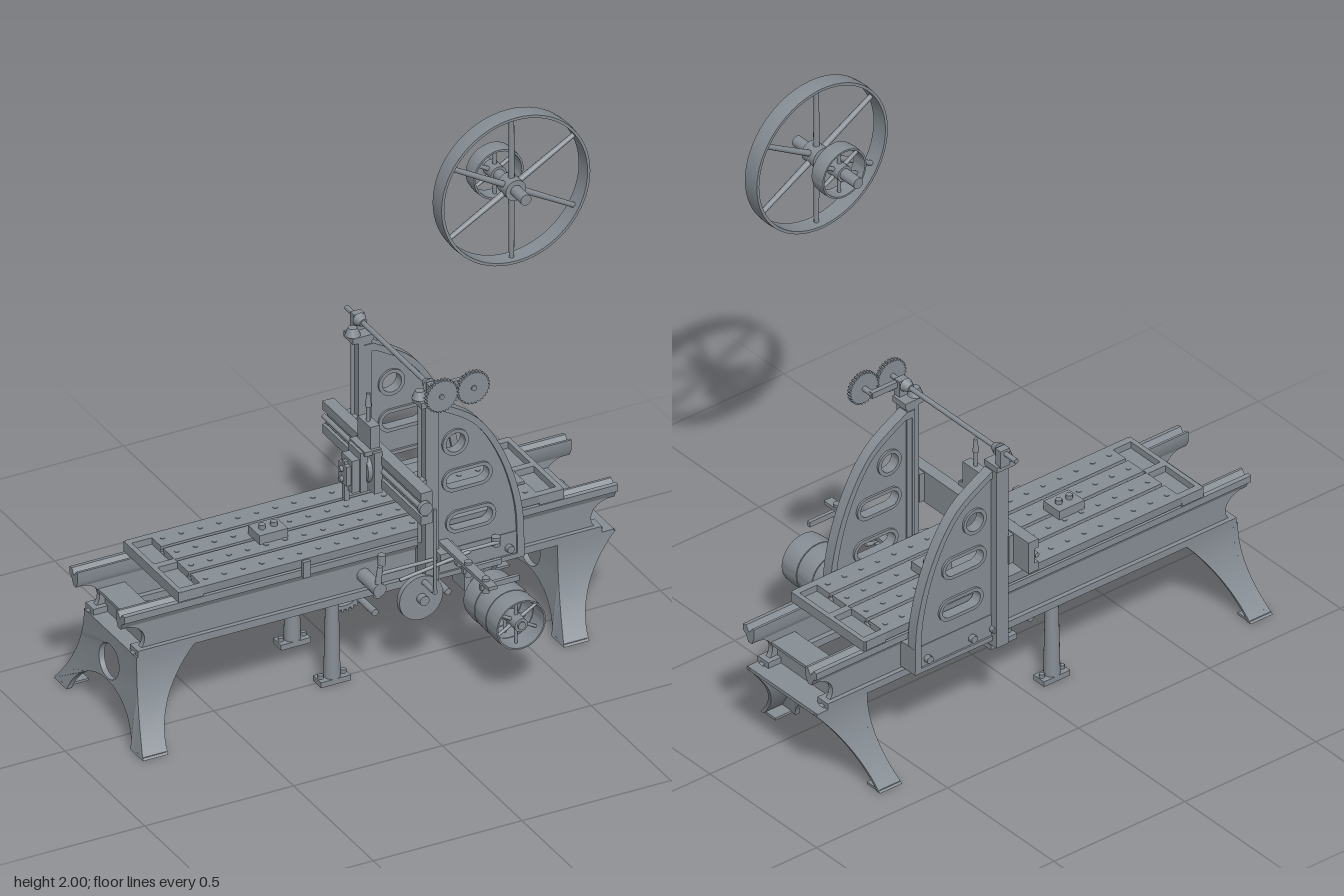
import * as THREE from 'three';
import { toCreasedNormals } from 'three/addons/utils/BufferGeometryUtils.js';

const MAT = new THREE.MeshStandardMaterial({ color: 0x868d94, side: THREE.DoubleSide });
const V = (x, y, z) => new THREE.Vector3(x, y, z);

export function createModel() {
  const root = new THREE.Group();
  root.name = 'planingMachine';
  // local z = 0 is the centre line of the bed
  const machine = new THREE.Group();
  machine.name = 'machine';
  machine.position.z = -0.118;
  root.add(machine);

  const add = (name, geo, parent = machine) => {
    const m = new THREE.Mesh(geo, MAT);
    m.name = name;
    parent.add(m);
    return m;
  };
  const box = (name, x0, x1, y0, y1, z0, z1) => {
    const m = add(name, new THREE.BoxGeometry(x1 - x0, y1 - y0, Math.abs(z1 - z0)));
    m.position.set((x0 + x1) / 2, (y0 + y1) / 2, (z0 + z1) / 2);
  };
  const rod = (name, a, b, r, r2 = r, seg = 16, parent = machine) => {
    const dir = b.clone().sub(a);
    const m = add(name, new THREE.CylinderGeometry(r2, r, dir.length(), seg), parent);
    m.position.copy(a).add(b).multiplyScalar(0.5);
    m.quaternion.setFromUnitVectors(V(0, 1, 0), dir.normalize());
  };
  const poly = pts => new THREE.Shape(pts.map(p => new THREE.Vector2(p[0], p[1])));
  const extrude = (shape, depth, curveSegments = 16) => toCreasedNormals(
    new THREE.ExtrudeGeometry(shape, { depth, bevelEnabled: false, curveSegments }), 0.6);
  // profile in (z, y) drawn along x
  const alongX = (name, pts, x0, x1) => {
    const g = extrude(poly(pts.map(([z, y]) => [-z, y])), x1 - x0).rotateY(Math.PI / 2);
    add(name, g.translate(x0, 0, 0));
  };
  const circlePath = (x, y, r) => new THREE.Path().absarc(x, y, r, 0, Math.PI * 2, true);
  const slotPath = (x, y, half, r) => {
    const p = new THREE.Path();
    p.absarc(x + half, y, r, -Math.PI / 2, Math.PI / 2, false);
    p.absarc(x - half, y, r, Math.PI / 2, Math.PI * 1.5, false);
    p.closePath();
    return p;
  };
  // spoked wheel with its axis along z
  const wheel = (name, x, y, z0, z1, r, rim, hub, spoke, n = 6) => {
    const g = new THREE.Group(), w = (z1 - z0) / 2;
    g.name = name;
    g.position.set(x, y, (z0 + z1) / 2);
    machine.add(g);
    const prof = [[r - rim, -w], [r - 0.002, -w], [r, 0], [r - 0.002, w], [r - rim, w], [r - rim, -w]];
    const lathe = new THREE.LatheGeometry(prof.map(p => new THREE.Vector2(...p)), 64).rotateX(Math.PI / 2);
    add('rim', toCreasedNormals(lathe, 0.6), g);
    rod('hub', V(0, 0, -w), V(0, 0, w), hub, hub, 24, g);
    for (let i = 0; i < n; i++) {
      const a = Math.PI / 2 + i * Math.PI * 2 / n, c = Math.cos(a), s = Math.sin(a);
      rod('spoke', V(c * hub * 0.8, s * hub * 0.8, 0), V(c * (r - rim / 2), s * (r - rim / 2), 0), spoke, spoke * 0.8, 10, g);
    }
  };
  // toothed wheel with its axis along z
  const gear = (name, x, y, z0, z1, r, teeth, open = false) => {
    const pts = [];
    for (let i = 0; i < teeth; i++)
      for (const [f, k] of [[0, 0.91], [0.4, 0.91], [0.55, 1], [0.85, 1]]) {
        const a = (i + f) / teeth * Math.PI * 2;
        pts.push([r * k * Math.cos(a), r * k * Math.sin(a)]);
      }
    const s = poly(pts);
    if (open) for (let i = 0; i < 6; i++) {
      const a0 = i * Math.PI / 3 + 0.12, a1 = a0 + Math.PI / 3 - 0.24, p = new THREE.Path();
      p.absarc(0, 0, r * 0.78, a0, a1, false);
      p.absarc(0, 0, r * 0.3, a1, a0, true);
      p.closePath();
      s.holes.push(p);
    }
    add(name, extrude(s, z1 - z0)).position.set(x, y, z0);
  };

  // End legs, both facing the same way: curved arched plate and flared side shells
  const H = 0.28;
  const flare = t => 0.165 + 0.115 * (1 - t) ** 2;
  const outerX = t => -0.785 - 0.04 * (1 - t) ** 2;
  const innerX = t => -0.74 + 0.15 * t ** 1.7;
  for (const [name, shift] of [['rightLeg', 0], ['leftLeg', 1.415]]) {
    const leg = new THREE.Group();
    leg.name = name;
    leg.position.x = shift;
    machine.add(leg);
    const edge = [...Array(13)].map((_, i) => [flare(i / 12), H * i / 12]);
    const arch = [...Array(17)].map((_, i) => [-0.2 * Math.cos(i * Math.PI / 16), 0.13 * Math.sin(i * Math.PI / 16) ** 1.3]);
    const plate = poly([...edge, ...edge.slice().reverse().map(([a, y]) => [-a, y]), ...arch]);
    plate.holes.push(new THREE.Path().absellipse(0, 0.19, 0.062, 0.055, 0, Math.PI * 2, true));
    const g = new THREE.ExtrudeGeometry(plate, { depth: 0.018, bevelEnabled: false, curveSegments: 20 }).rotateY(Math.PI / 2);
    const p = g.attributes.position;
    for (let i = 0; i < p.count; i++) p.setX(i, p.getX(i) + outerX(p.getY(i) / H));
    add('archedEndPlate', toCreasedNormals(g, 0.6), leg);
    for (const k of [1, -1]) {
      const sg = new THREE.BoxGeometry(1, 1, 1, 2, 14, 1), q = sg.attributes.position;
      for (let i = 0; i < q.count; i++) {
        const t = q.getY(i) + 0.5, u = q.getX(i) + 0.5;
        q.setXYZ(i, outerX(t) + u * (innerX(t) - outerX(t)), t * H, k * (flare(t) - (0.5 - k * q.getZ(i)) * 0.014));
      }
      add('flaredSide', toCreasedNormals(sg, 0.6), leg);
      const foot = add('foot', new THREE.BoxGeometry(0.08, 0.008, 0.06), leg);
      foot.position.set(-0.783, 0.004, k * 0.245);
    }
    const top = add('topFlange', new THREE.BoxGeometry(0.19, 0.012, 0.33), leg);
    top.position.set(-0.69, 0.279, 0);
  }

  // Bed: two notched walls with guide ways, flanges and cross ribs
  const wall = new THREE.Shape();
  wall.moveTo(-0.78, 0.28).lineTo(0.78, 0.28).lineTo(0.79, 0.29);
  wall.bezierCurveTo(0.735, 0.3, 0.735, 0.37, 0.8, 0.385).lineTo(0.815, 0.42);
  wall.lineTo(-0.815, 0.42).lineTo(-0.8, 0.385);
  wall.bezierCurveTo(-0.735, 0.37, -0.735, 0.3, -0.79, 0.29);
  for (const s of [1, -1]) {
    add('bedWall', extrude(wall, 0.018)).position.z = s > 0 ? 0.132 : -0.15;
    alongX('guideWay', [[0.148, 0.385], [0.16, 0.41], [0.172, 0.415], [0.172, 0.438], [0.158, 0.44], [0.145, 0.42], [0.13, 0.44], [0.122, 0.44], [0.122, 0.405], [0.132, 0.385]]
      .map(([z, y]) => [s * z, y]), -0.83, 0.83);
    box('bottomFlange', -0.78, 0.78, 0.28, 0.305, s * 0.115, s * 0.165);
  }
  for (const x of [-0.72, -0.45, -0.12, 0.2, 0.48, 0.72])
    box('crossRib', x - 0.012, x + 0.012, 0.285, 0.355, -0.135, 0.135);
  for (const x of [-0.71, 0.71])
    box('endTray', x - 0.045, x + 0.045, 0.35, 0.36, -0.135, 0.135);

  // Table with T-slots, guide ribs, rack, end pockets and bolt holes
  const y0 = 0.474, top = [[0.174, y0]];
  for (const z of [0.085, 0, -0.085])
    top.push([z + 0.006, y0], [z + 0.006, 0.462], [z + 0.012, 0.462], [z + 0.012, 0.453],
      [z - 0.012, 0.453], [z - 0.012, 0.462], [z - 0.006, 0.462], [z - 0.006, y0]);
  alongX('table', [...top, [-0.174, y0], [-0.171, 0.445], [-0.158, 0.442], [-0.145, 0.425], [-0.132, 0.442],
    [-0.08, 0.425], [-0.03, 0.4], [0.03, 0.4], [0.08, 0.425], [0.132, 0.442], [0.145, 0.425], [0.158, 0.442], [0.171, 0.445]], -0.565, 0.565);
  box('rack', -0.55, 0.55, 0.365, 0.402, -0.028, 0.028);
  for (const s of [1, -1]) {
    const span = (a, b) => s > 0 ? [a, b] : [-b, -a];
    box('pocketFloor', ...span(0.565, 0.645), 0.44, 0.452, -0.172, 0.172);
    box('endLip', ...span(0.632, 0.648), 0.44, 0.474, -0.172, 0.172);
    for (const z of [-0.162, 0, 0.162])
      box('pocketWall', ...span(0.565, 0.64), 0.442, 0.474, z - 0.012, z + 0.012);
  }
  for (let i = 0; i < 18; i++)
    for (const z of [-0.135, -0.045, 0.045, 0.135])
      rod('boltHole', V(-0.5375 + i * 0.0632, 0.472, z), V(-0.5375 + i * 0.0632, 0.476, z), 0.008, 0.008, 10);
  for (const x of [-0.255, 0.25]) {
    box('clampBlock', x - 0.048, x + 0.048, 0.474, 0.504, -0.037, 0.037);
    for (const d of [-0.02, 0.02]) rod('clampBolt', V(x + d, 0.5, 0), V(x + d, 0.518, 0), 0.011, 0.011, 6);
  }
  box('tableDog', -0.235, -0.21, 0.415, 0.47, 0.172, 0.186);

  // Side frames
  const back = new THREE.SplineCurve([[0.198, 0.915], [0.334, 0.826], [0.428, 0.674], [0.482, 0.49], [0.49, 0.31]]
    .map(p => new THREE.Vector2(...p))).getPoints(20).map(p => [p.x, p.y]);
  const outline = [[0.166, 0.31], [0.166, 0.915], ...back];
  const windows = [[0.26, 0.762, 0, 0.032], [0.3, 0.632, 0.046, 0.026], [0.312, 0.488, 0.046, 0.026]];
  for (const s of [1, -1]) {
    const zc = s * 0.2;
    const plate = poly(outline);
    const rim = poly(outline);
    rim.holes.push(new THREE.Path(outline.map(([x, y]) => new THREE.Vector2(0.255 + (x - 0.255) * 0.9, 0.54 + (y - 0.54) * 0.93))));
    for (const [x, y, h, r] of windows) {
      const opening = d => h ? slotPath(x, y, h, r + d) : circlePath(x, y, r + d);
      plate.holes.push(opening(0));
      const ring = new THREE.Shape(opening(0.012).getPoints(16));
      ring.holes.push(opening(0));
      add('windowRim', extrude(ring, 0.034)).position.z = zc - 0.017;
    }
    add('sideFrame', extrude(plate, 0.02)).position.z = zc - 0.01;
    add('frameRim', extrude(rim, 0.036)).position.z = zc - 0.018;
    box('column', 0.148, 0.194, 0.29, 0.925, s * 0.185, s * 0.235);
    box('columnFoot', 0.16, 0.49, 0.31, 0.4, s * 0.15, s * 0.212);
    for (const x of [0.19, 0.27, 0.44])
      rod('footBolt', V(x, 0.35, s * 0.21), V(x, 0.35, s * 0.228), 0.013, 0.013, 6);
    // elevating screw and its bearings
    rod('elevatingScrew', V(0.142, 0.45, s * 0.21), V(0.142, 0.96, s * 0.21), 0.006);
    box('screwBearing', 0.13, 0.2, 0.925, 0.945, s * 0.185, s * 0.245);
    box('shaftBearing', 0.155, 0.19, 0.94, 1.0, s * 0.225, s * 0.25);
    rod('bevelGear', V(0.142, 0.945, s * 0.21), V(0.142, 0.97, s * 0.21), 0.024, 0.014);
    rod('bevelPinion', V(0.17, 0.985, s * 0.195), V(0.17, 0.985, s * 0.22), 0.012, 0.022);
  }

  // Top shaft with gear pair
  rod('topShaft', V(0.17, 0.985, -0.3), V(0.17, 0.985, 0.3), 0.008);
  gear('topGear', 0.172, 0.985, 0.282, 0.296, 0.055, 28);
  gear('topIdlerGear', 0.278, 0.985, 0.282, 0.296, 0.055, 28);
  rod('idlerStud', V(0.278, 0.985, 0.24), V(0.278, 0.985, 0.3), 0.009);
  box('idlerArm', 0.17, 0.285, 0.975, 0.995, 0.235, 0.25);

  // Cross rail with saddle and tool head
  box('crossRail', 0.11, 0.132, 0.57, 0.68, -0.31, 0.31);
  for (const y of [0.57, 0.65]) box('railSlide', 0.094, 0.112, y, y + 0.03, -0.31, 0.31);
  for (const s of [1, -1]) box('railClamp', 0.13, 0.15, 0.575, 0.675, s * 0.18, s * 0.24);
  rod('feedScrew', V(0.1, 0.625, -0.312), V(0.1, 0.625, 0.325), 0.008);
  rod('feedRod', V(0.103, 0.61, -0.3), V(0.103, 0.61, 0.325), 0.005);
  rod('feedScrewHandle', V(0.1, 0.635, 0.315), V(0.1, 0.635, 0.33), 0.022);
  box('saddle', 0.07, 0.098, 0.555, 0.695, -0.06, 0.06);
  rod('swivelPlate', V(0.07, 0.625, 0), V(0.055, 0.625, 0), 0.052, 0.052, 32);
  box('toolSlide', 0.035, 0.06, 0.56, 0.695, -0.04, 0.04);
  box('upperSlide', 0.068, 0.1, 0.695, 0.775, -0.04, 0.04);
  box('clapperBox', 0.01, 0.038, 0.56, 0.67, -0.032, 0.032);
  box('toolClamp', -0.005, 0.012, 0.585, 0.65, -0.025, 0.025);
  for (const y of [0.6, 0.635]) rod('clampScrew', V(0.01, y, 0), V(-0.016, y, 0), 0.009, 0.009, 6);
  box('cuttingTool', -0.002, 0.014, 0.525, 0.66, -0.008, 0.008);
  box('slideCap', 0.045, 0.1, 0.685, 0.7, -0.05, 0.05);
  rod('downFeedScrew', V(0.082, 0.7, 0), V(0.082, 0.87, 0), 0.006);
  rod('downFeedKnob', V(0.082, 0.825, 0), V(0.082, 0.862, 0), 0.01, 0.006);

  // Gear train below the table
  gear('bullGear', -0.015, 0.258, -0.03, 0.03, 0.098, 36, true);
  gear('rackGear', 0.13, 0.29, -0.03, 0.03, 0.07, 26);
  gear('driveGear', 0.23, 0.262, -0.03, 0.0, 0.055, 22, true);
  for (const [x, y] of [[-0.015, 0.258], [0.13, 0.28], [0.23, 0.262]])
    rod('gearShaft', V(x, y, -0.14), V(x, y, 0.225), 0.011);
  rod('feedDisc', V(0.13, 0.278, 0.225), V(0.13, 0.278, 0.243), 0.073, 0.073, 40);
  rod('feedDiscHub', V(0.13, 0.278, 0.24), V(0.13, 0.278, 0.265), 0.016);
  rod('crankPin', V(0.14, 0.33, 0.24), V(0.14, 0.33, 0.312), 0.009);
  rod('feedLink', V(0.14, 0.33, 0.31), V(0.135, 0.62, 0.318), 0.005);

  // Belt pulleys on the drive shaft
  rod('driveShaft', V(0.318, 0.275, -0.14), V(0.318, 0.275, 0.525), 0.013);
  for (const z of [0.31, 0.381, 0.452]) wheel('drivePulley', 0.318, 0.275, z, z + 0.068, 0.084, 0.007, 0.022, 0.006);
  box('driveBearing', 0.285, 0.35, 0.25, 0.31, 0.15, 0.225);

  // Belt shifter and reversing levers
  box('shifterBar', 0.205, 0.235, 0.425, 0.437, 0.2, 0.525);
  for (const z of [0.37, 0.48]) {
    box('beltFork', 0.2, 0.33, 0.408, 0.426, z - 0.006, z + 0.006);
    rod('forkPivot', V(0.22, 0.395, z), V(0.22, 0.445, z), 0.012);
  }
  box('shifterBracket', 0.18, 0.25, 0.39, 0.425, 0.2, 0.27);
  rod('reversingRod', V(-0.01, 0.4, 0.245), V(0.39, 0.4, 0.245), 0.006);
  rod('shifterLink', V(0.04, 0.38, 0.275), V(0.27, 0.42, 0.285), 0.006);
  rod('rockShaft', V(-0.015, 0.35, 0.15), V(-0.015, 0.35, 0.255), 0.022);
  rod('reversingLever', V(-0.02, 0.325, 0.245), V(-0.01, 0.425, 0.245), 0.012, 0.008);
  rod('leverKnob', V(0.02, 0.4, 0.2), V(0.02, 0.435, 0.2), 0.012);
  rod('leverEnd', V(0.385, 0.385, 0.235), V(0.385, 0.415, 0.235), 0.014);

  // Middle support posts
  for (const s of [1, -1]) {
    const z = s * 0.125;
    rod('middlePost', V(-0.107, 0.015, z), V(-0.107, 0.285, z), 0.026, 0.02, 20);
    box('postFoot', -0.157, -0.057, 0, 0.018, z - 0.025, z + 0.025);
    for (const d of [-0.038, 0.038]) rod('postBolt', V(-0.107 + d, 0.016, z), V(-0.107 + d, 0.03, z), 0.009, 0.009, 6);
  }

  // Overhead countershaft
  wheel('overheadWheel', 0.318, 1.748, 0.43, 0.486, 0.252, 0.011, 0.034, 0.01);
  wheel('overheadPulley', 0.318, 1.748, 0.325, 0.378, 0.085, 0.008, 0.026, 0.007);
  rod('overheadShaft', V(0.318, 1.748, 0.26), V(0.318, 1.748, 0.55), 0.018, 0.018, 24);
  return root;
}
